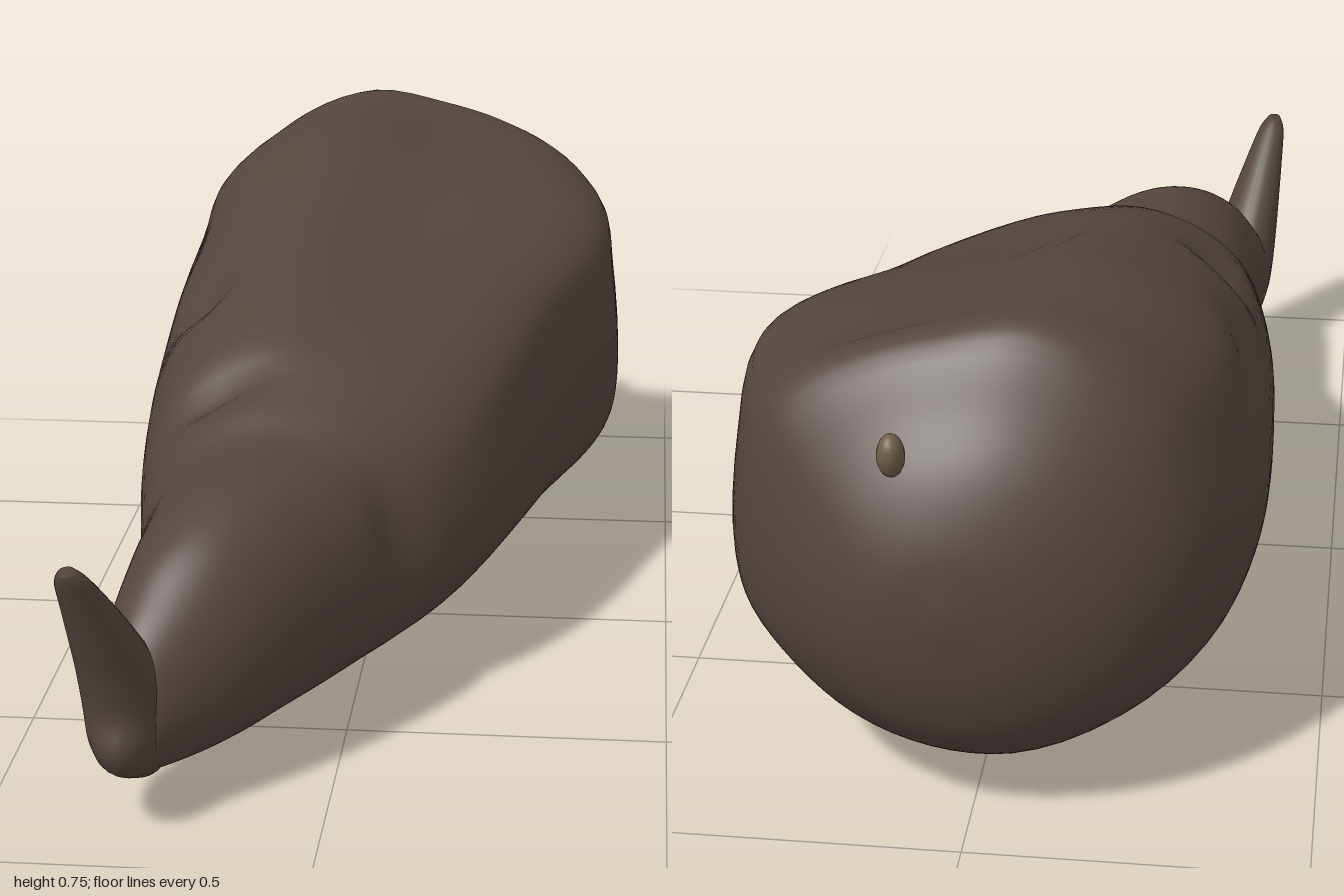
import * as THREE from 'three';

const skin = new THREE.MeshStandardMaterial({ color: 0x54453f });
const stemSkin = new THREE.MeshStandardMaterial({ color: 0x53453d });
const nubSkin = new THREE.MeshStandardMaterial({ color: 0x6e6048 });

// Closed smooth surface through rings of equal point count, capped at both ends
function loft(rings) {
  const n = rings[0].length, pos = [], idx = [];
  rings.forEach(r => r.forEach(p => pos.push(p.x, p.y, p.z)));
  for (let i = 0; i < rings.length - 1; i++) {
    for (let j = 0; j < n; j++) {
      const a = i * n + j, b = i * n + (j + 1) % n;
      idx.push(a, b, b + n, a, b + n, a + n);
    }
  }
  [0, rings.length - 1].forEach(i => {
    const c = new THREE.Vector3();
    rings[i].forEach(p => c.addScaledVector(p, 1 / n));
    const k = pos.length / 3;
    pos.push(c.x, c.y, c.z);
    for (let j = 0; j < n; j++) {
      const a = i * n + j, b = i * n + (j + 1) % n;
      if (i === 0) idx.push(k, b, a); else idx.push(k, a, b);
    }
  });
  const g = new THREE.BufferGeometry();
  g.setAttribute('position', new THREE.Float32BufferAttribute(pos, 3));
  g.setIndex(idx);
  g.computeVertexNormals();
  return g;
}

// Smooth interpolation of numeric rows (up to six columns)
function smoothRows(rows, count) {
  const curve = k => new THREE.CatmullRomCurve3(
    rows.map(r => new THREE.Vector3(r[k], r[k + 1], r[k + 2] ?? 0)), false, 'catmullrom', 0.5);
  const a = curve(0), b = curve(3);
  return Array.from({ length: count + 1 }, (_, i) =>
    [...a.getPoint(i / count).toArray(), ...b.getPoint(i / count).toArray()]);
}

// Shouldered cross-section of the thick end, normalised to +-1
const profile = new THREE.CatmullRomCurve3([
  [1, -.2], [.97, .3], [.92, .6], [.74, .74], [.45, .82], [.15, .88], [-.24, 1],
  [-.6, .9], [-.85, .68], [-.94, .4], [-1, .05], [-.96, -.3], [-.86, -.56],
  [-.62, -.82], [-.2, -1], [.2, -.97], [.55, -.84], [.8, -.63], [.96, -.42],
].map(p => new THREE.Vector3(p[0], p[1], 0)), true).getPoints(76).slice(0, 76);

// Body stations: z, xMin, xMax, yMin, yMax, shoulder amount
const stations = [
  [-1, 0, .04, .35, .39, 0],
  [-.985, -.1, .13, .25, .48, 0],
  [-.95, -.19, .2, .165, .57, .1],
  [-.9, -.26, .26, .11, .645, .2],
  [-.82, -.325, .34, .06, .752, .5],
  [-.7, -.375, .385, .025, .75, .8],
  [-.55, -.403, .402, .01, .735, 1],
  [-.4, -.406, .392, .005, .705, 1],
  [-.2, -.4, .32, .005, .655, .9],
  [0, -.39, .27, .015, .605, .7],
  [.2, -.37, .215, .03, .545, .4],
  [.33, -.35, .15, .04, .485, .2],
  [.41, -.338, .1, .045, .447, .1],
  [.5, -.33, .05, .05, .442, .1],
  [.6, -.33, -.01, .055, .428, 0],
  [.7, -.335, -.075, .06, .385, 0],
  [.78, -.342, -.14, .067, .32, 0],
  [.84, -.345, -.2, .075, .26, 0],
  [.88, -.33, -.24, .09, .2, 0],
];

// Skin folds and hollows: x, y, z, radius x, radius y, radius z, depth
const dents = [
  [-.3, .53, -.07, .07, .07, .08, .035],
  [-.24, .47, .26, .1, .09, .04, .03],
  [.09, .32, .42, .07, .14, .07, .02],
  [.22, .66, -.65, .14, .1, .15, .015],
  [-.36, .56, -.4, .08, .06, .2, .015],
];

function bodyGeometry() {
  const q = new THREE.Vector3();
  const rings = smoothRows(stations, 108).map(([z, x0, x1, y0, y1, shoulder]) =>
    profile.map(p => {
      const k = THREE.MathUtils.lerp(1 / p.length(), 1, shoulder);
      const cx = (x0 + x1) / 2, cy = (y0 + y1) / 2;
      const v = new THREE.Vector3(cx + p.x * k * (x1 - x0) / 2, cy + p.y * k * (y1 - y0) / 2, z);
      const inward = q.set(cx - v.x, cy - v.y, 0).normalize();
      let depth = 0;
      for (const [dx, dy, dz, rx, ry, rz, d] of dents) {
        depth += d * Math.exp(-(((v.x - dx) / rx) ** 2) - ((v.y - dy) / ry) ** 2 - ((z - dz) / rz) ** 2);
      }
      return v.addScaledVector(inward, depth);
    }));
  return loft(rings);
}

// Stem levels: y, xMin, xMax, zMin, zMax
const stemLevels = [
  [.075, -.3, -.24, .74, .86],
  [.1, -.33, -.235, .72, .91],
  [.14, -.345, -.23, .72, .93],
  [.19, -.352, -.232, .74, .92],
  [.25, -.356, -.245, .77, .932],
  [.3, -.358, -.262, .81, .95],
  [.37, -.36, -.29, .88, .975],
  [.42, -.36, -.312, .935, .995],
  [.44, -.352, -.328, .96, 1],
];

function stemGeometry() {
  const rings = smoothRows(stemLevels.map(r => [...r, 0]), 32).map(([y, x0, x1, z0, z1]) =>
    Array.from({ length: 24 }, (_, j) => {
      const a = j / 24 * Math.PI * 2;
      return new THREE.Vector3((x0 + x1) / 2 + Math.cos(a) * (x1 - x0) / 2, y,
        (z0 + z1) / 2 - Math.sin(a) * (z1 - z0) / 2);
    }));
  return loft(rings);
}

export function createModel() {
  const model = new THREE.Group();
  const add = (name, geometry, material) => {
    const mesh = new THREE.Mesh(geometry, material);
    mesh.name = name;
    model.add(mesh);
    return mesh;
  };
  add('body', bodyGeometry(), skin);
  add('stem', stemGeometry(), stemSkin);

  // Small blossom scar at the thick end
  const nub = add('blossomNub', new THREE.SphereGeometry(1, 16, 12), nubSkin);
  nub.scale.set(.02, .035, .025);
  nub.position.set(.1, .6, -.94);
  nub.rotation.x = -.3;
  return model;
}
